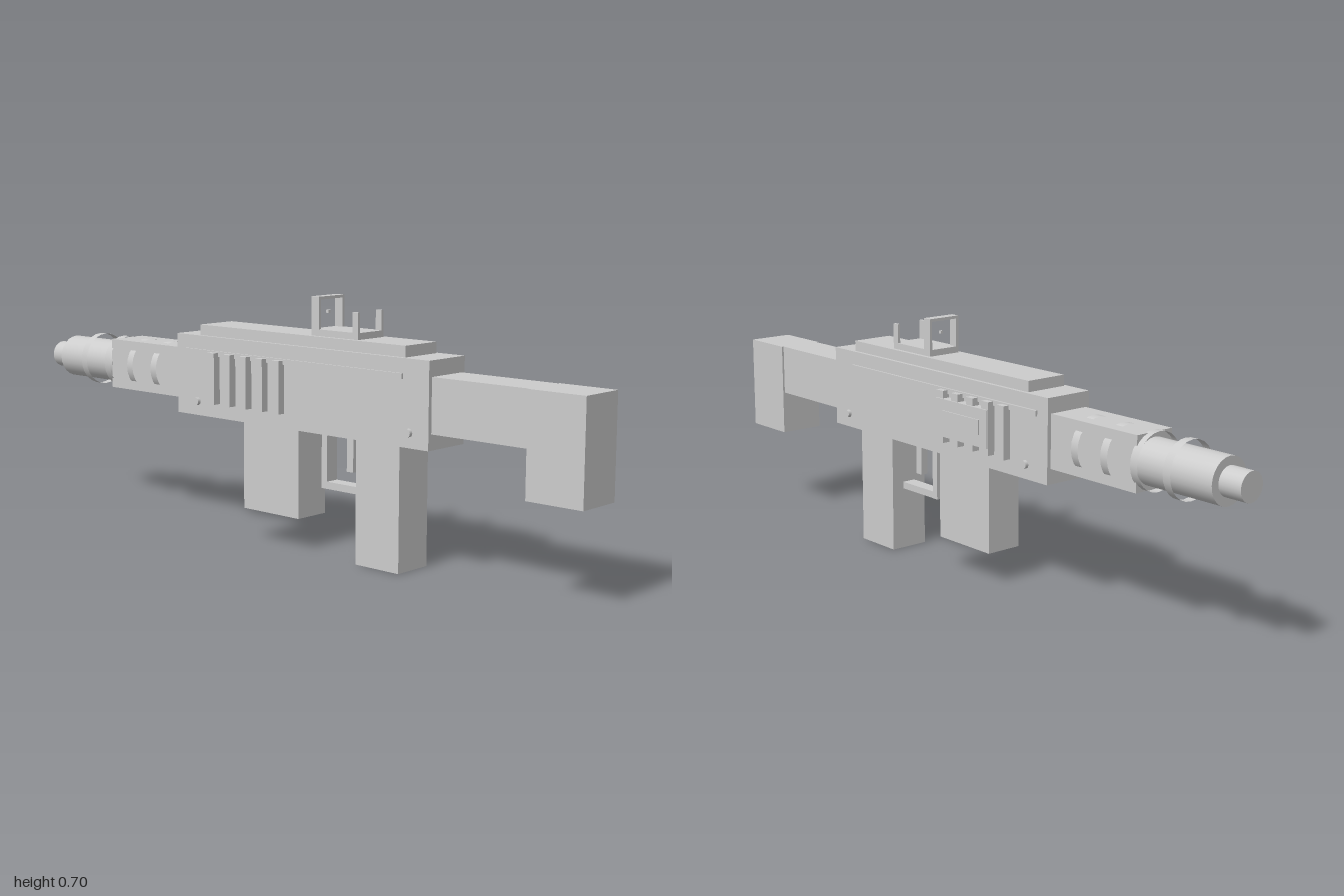
import * as THREE from 'three';

export function createModel() {
  const model = new THREE.Group();
  const body = new THREE.Group(); // body axis sits slightly off centre
  body.name = 'body';
  body.position.x = -0.005;
  model.add(body);

  const grey = new THREE.MeshStandardMaterial({ color: 0xcccccc });
  grey.name = 'plainGrey';
  grey.side = THREE.DoubleSide;

  const add = (name, geometry, x, y, z) => {
    const mesh = new THREE.Mesh(geometry, grey);
    mesh.name = name;
    mesh.position.set(x, y, z);
    body.add(mesh);
    return mesh;
  };
  // Box given by its extents
  const box = (name, x0, x1, y0, y1, z0, z1) =>
    add(name, new THREE.BoxGeometry(x1 - x0, y1 - y0, z1 - z0),
      (x0 + x1) / 2, (y0 + y1) / 2, (z0 + z1) / 2);
  // Box centred across the body
  const block = (name, half, y0, y1, z0, z1) => box(name, -half, half, y0, y1, z0, z1);
  // Cylinder along z
  const tube = (name, r, y, z0, z1, open = false) =>
    add(name, new THREE.CylinderGeometry(r, r, z1 - z0, 24, 1, open).rotateX(Math.PI / 2),
      0, y, (z0 + z1) / 2);

  // Main blocks
  block('receiver', 0.0725, 0.34, 0.57, -0.385, 0.54);
  block('topRail', 0.0625, 0.57, 0.6, -0.3, 0.455);
  block('stockArm', 0.061, 0.382, 0.528, 0.54, 0.835);
  block('buttStock', 0.067, 0.255, 0.528, 0.835, 1);
  block('grip', 0.0585, 0, 0.34, 0.287, 0.435);
  block('magazine', 0.054, 0.09, 0.34, -0.135, 0.075);
  block('handguard', 0.061, 0.382, 0.528, -0.69, -0.385);

  // Barrel, muzzle and hoops
  tube('barrel', 0.062, 0.453, -0.932, -0.69);
  tube('muzzle', 0.039, 0.453, -1, -0.932);
  for (const z of [-0.488, -0.592, -0.695, -0.803]) {
    tube('hoop', 0.077, 0.455, z - 0.012, z + 0.012, true);
  }

  // Trigger and guard
  block('trigger', 0.011, 0.235, 0.34, 0.213, 0.236);
  block('guardBar', 0.02, 0.18, 0.2, 0.13, 0.287);
  block('guardPost', 0.02, 0.2, 0.34, 0.13, 0.15);

  // Sight base, window frame, posts and aiming bead
  block('sightBase', 0.051, 0.6, 0.618, 0.12, 0.285);
  block('sightFrameTop', 0.051, 0.697, 0.705, 0.12, 0.147);
  block('sightBead', 0.004, 0.658, 0.666, 0.13, 0.138);
  for (const s of [-1, 1]) {
    const a = s * 0.043, b = s * 0.051;
    const x0 = Math.min(a, b), x1 = Math.max(a, b);
    box('sightFrameSide', x0, x1, 0.618, 0.697, 0.12, 0.147);
    box('sightPost', x0, x1, 0.618, 0.672, 0.265, 0.285);
  }

  // Side trim, mirrored
  for (const s of [-1, 1]) {
    const plate = (name, out, y0, y1, z0, z1) =>
      box(name, Math.min(s * 0.07, s * out), Math.max(s * 0.07, s * out), y0, y1, z0, z1);
    plate('sideStrip', 0.078, 0.516, 0.531, -0.345, 0.455);
    for (let i = 0; i < 5; i++) {
      const z = 0.025 - i * 0.0628;
      plate('sideRib', 0.095, 0.381, 0.527, z - 0.014, z + 0.014);
    }
    for (const z of [0.477, -0.302]) {
      const pin = new THREE.CylinderGeometry(0.011, 0.011, 0.02, 16).rotateZ(Math.PI / 2);
      add('pin', pin, s * 0.0725, 0.38, z);
    }
  }

  // Port cover on the left side only
  box('portCover', 0.07, 0.099, 0.4, 0.506, -0.176, 0.038);
  box('portPlate', 0.095, 0.1025, 0.433, 0.475, -0.145, 0.005);

  return model;
}
